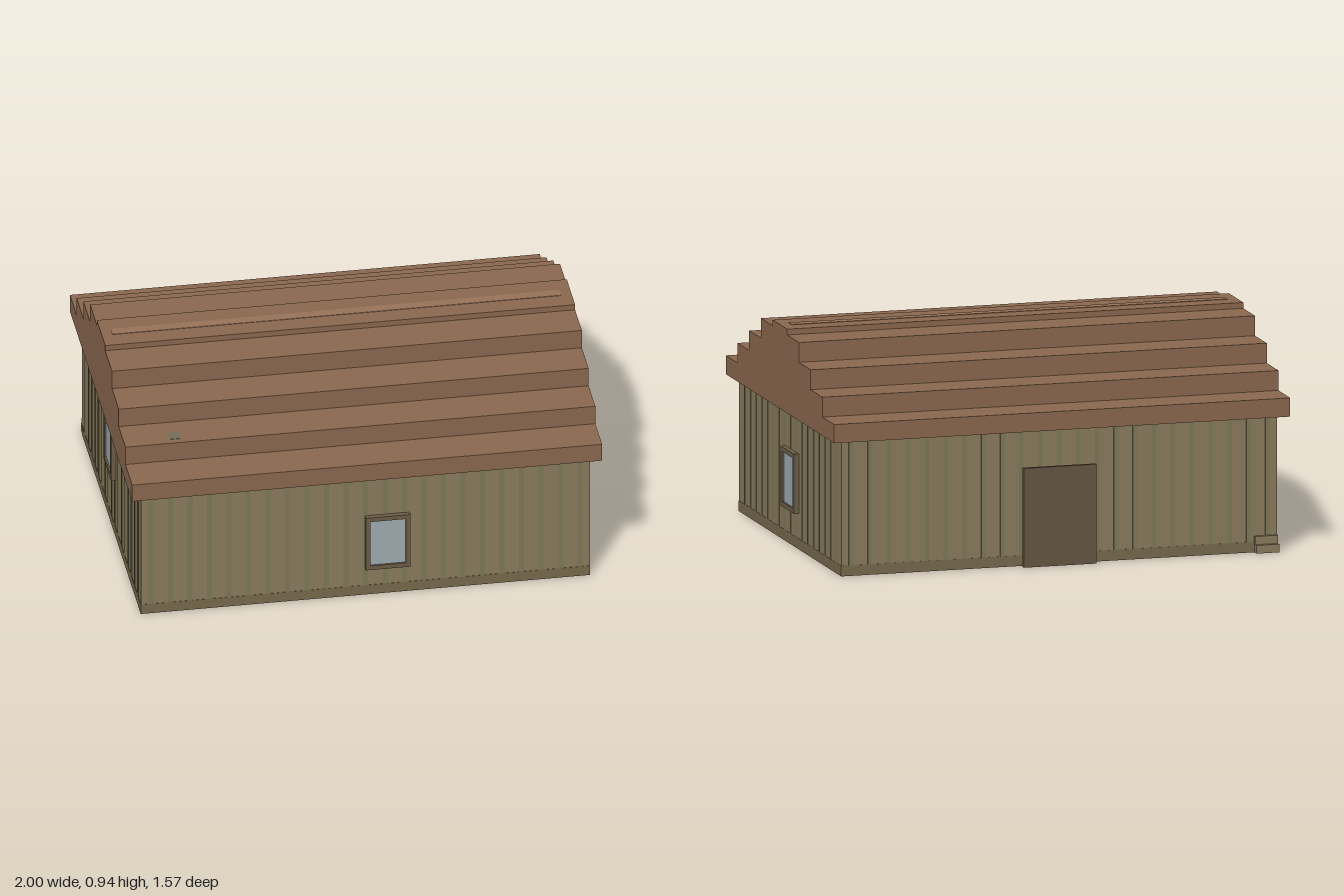
import * as THREE from 'three';

const mat = (color) => new THREE.MeshStandardMaterial({ color });
const wallMat = mat(0x8b7d5f), stripMat = mat(0x7f7a58), baseMat = mat(0x786a4e);
const roofMat = mat(0x8c6950), ridgeMat = mat(0x997359), frameMat = mat(0x6e5f48);
const glassMat = mat(0xa0acb2), doorMat = mat(0x665743), patchMat = mat(0x75705a);

// Box given by its minimum and maximum on each axis
function box(name, material, x0, x1, y0, y1, z0, z1) {
  const m = new THREE.Mesh(new THREE.BoxGeometry(x1 - x0, y1 - y0, z1 - z0), material);
  m.position.set((x0 + x1) / 2, (y0 + y1) / 2, (z0 + z1) / 2);
  m.name = name;
  return m;
}

// Window with an open frame and a recessed pane, facing +z from its wall
function makeWindow(name) {
  const w = 0.19, h = 0.255, t = 0.02, depth = 0.022;
  const g = new THREE.Group();
  g.name = name;
  const rect = (C, a, b) => new C([[-a, -b], [a, -b], [a, b], [-a, b]].map((p) => new THREE.Vector2(...p)));
  const shape = rect(THREE.Shape, w / 2, h / 2);
  shape.holes.push(rect(THREE.Path, w / 2 - t, h / 2 - t));
  const frame = new THREE.Mesh(new THREE.ExtrudeGeometry(shape, { depth, bevelEnabled: false }), frameMat);
  frame.name = 'windowFrame';
  g.add(frame, box('windowPane', glassMat, -w / 2 + t, w / 2 - t, -h / 2 + t, h / 2 - t, 0, 0.014));
  return g;
}

export function createModel() {
  const house = new THREE.Group();
  house.name = 'house';
  const X = 0.955, Z = 0.742, wallTop = 0.58;

  house.add(box('walls', wallMat, -X, X, 0, wallTop, -Z, Z));

  // Vertical strips and a base board on all four walls
  const siding = new THREE.Group();
  siding.name = 'siding';
  const out = 0.0015, half = 0.01;
  for (let i = -11; i <= 11; i++) {
    const c = i * 0.083;
    for (const s of [-1, 1]) {
      const z = s * Z;
      siding.add(box('wallStrip', stripMat, c - half, c + half, 0.045, wallTop, z - out, z + out));
    }
  }
  for (let i = -8; i <= 8; i++) {
    const c = i * 0.083;
    for (const s of [-1, 1]) {
      const x = s * X;
      siding.add(box('wallStrip', stripMat, x - out, x + out, 0.045, wallTop, c - half, c + half));
    }
  }
  siding.add(box('baseBoard', baseMat, -X - out, X + out, 0, 0.045, -Z - out, Z + out));
  house.add(siding);

  // Stepped roof: one mirrored profile swept along x
  const steps = [[0.785, 0.66], [0.615, 0.745], [0.445, 0.83], [0.275, 0.915], [0.105, 0.94]];
  const side = [];
  let y = wallTop;
  for (const [z, top] of steps) {
    side.push(new THREE.Vector2(z, y), new THREE.Vector2(z, top));
    y = top;
  }
  const mirrored = side.map((p) => new THREE.Vector2(-p.x, p.y)).reverse();
  const roofGeo = new THREE.ExtrudeGeometry(new THREE.Shape([...side, ...mirrored]), { depth: 2, bevelEnabled: false });
  roofGeo.translate(0, 0, -1).rotateY(Math.PI / 2);
  const roof = new THREE.Mesh(roofGeo, roofMat);
  roof.name = 'roof';
  house.add(roof);
  house.add(box('ridgeStrip', ridgeMat, -X, X, 0.92, 0.942, -0.022, 0.022));
  house.add(box('roofPatch', patchMat, -0.81, -0.755, 0.7, 0.7465, 0.53, 0.585));

  // Windows on the front, left and right walls
  const windows = [
    ['frontWindow', 0.093, 0.257, Z, 0],
    ['leftWindow', X, 0.28, -0.03, Math.PI / 2],
    ['rightWindow', -X, 0.407, 0.02, -Math.PI / 2],
  ];
  for (const [name, x, wy, z, turn] of windows) {
    const w = makeWindow(name);
    w.position.set(x, wy, z);
    w.rotation.y = turn;
    house.add(w);
  }

  // Back door: inner slab and a slightly taller outer leaf
  const door = new THREE.Group();
  door.name = 'backDoor';
  door.add(box('doorSlab', frameMat, -0.14, 0.16, 0, 0.405, -0.768, -Z));
  door.add(box('doorLeaf', doorMat, -0.15, 0.168, 0, 0.425, -0.785, -0.768));
  house.add(door);

  // Small corner steps at the back
  const cornerSteps = new THREE.Group();
  cornerSteps.name = 'cornerSteps';
  cornerSteps.add(box('lowerStep', wallMat, -X, -0.855, 0, 0.035, -0.775, -Z));
  cornerSteps.add(box('upperStep', wallMat, -X, -0.855, 0.035, 0.07, -0.757, -Z));
  house.add(cornerSteps);

  return house;
}
